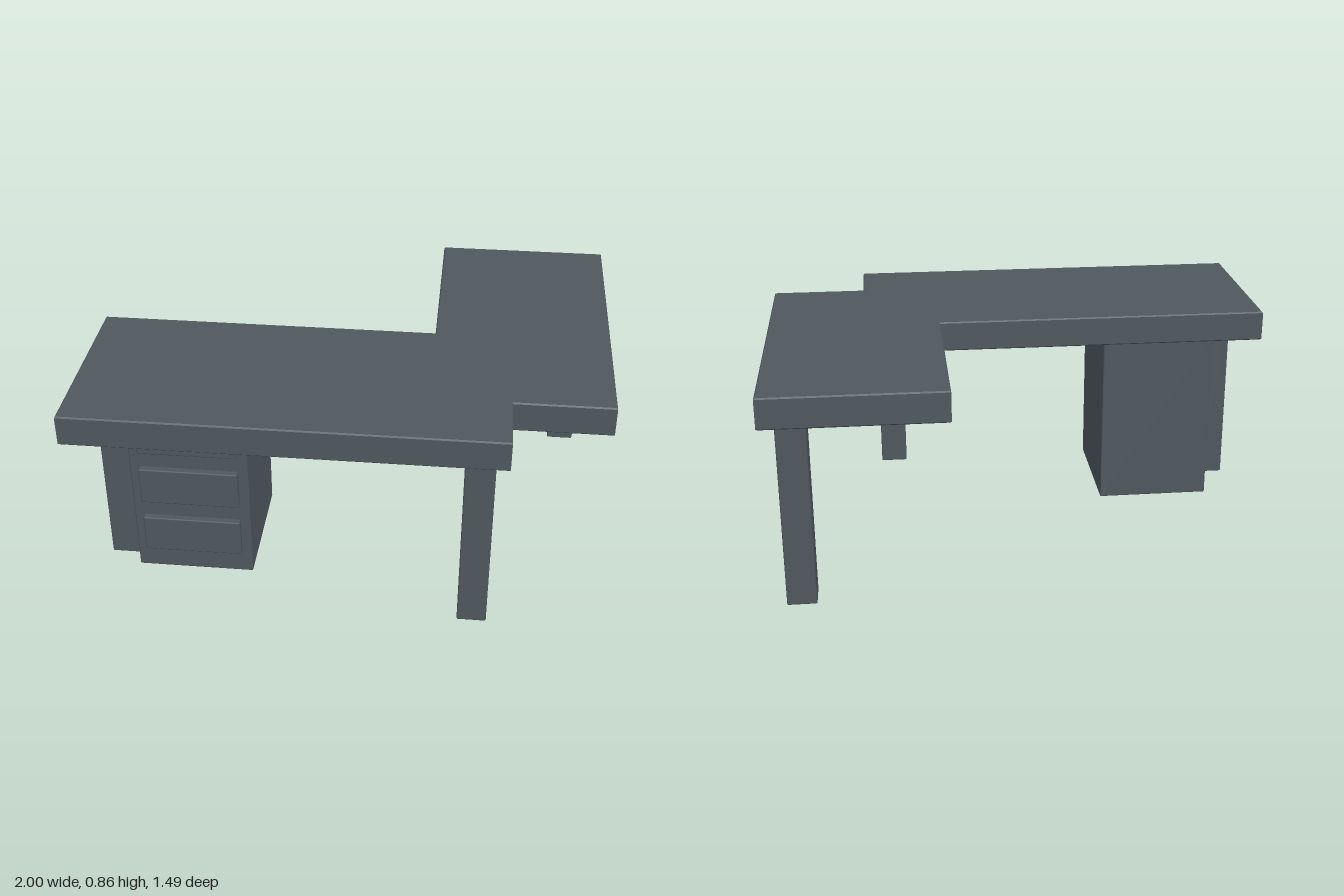
import * as THREE from 'three';
import { RoundedBoxGeometry } from 'three/addons/geometries/RoundedBoxGeometry.js';

const BEVEL = 0.005;

export function createModel() {
  const desk = new THREE.Group();
  desk.name = 'cornerDesk';
  const slate = new THREE.MeshStandardMaterial({ color: 0x50585f });
  slate.name = 'slateGrey';

  const add = (name, geometry, parent = desk) => {
    const mesh = new THREE.Mesh(geometry, slate);
    mesh.name = name;
    parent.add(mesh);
    return mesh;
  };

  // Softly bevelled block given by its minimum and maximum corners
  const block = (name, [x0, y0, z0], [x1, y1, z1], parent) => {
    const mesh = add(name, new RoundedBoxGeometry(x1 - x0, y1 - y0, z1 - z0, 1, BEVEL), parent);
    mesh.position.set((x0 + x1) / 2, (y0 + y1) / 2, (z0 + z1) / 2);
  };

  // L-shaped top with a notch at the front left corner, outlined as x, z
  const outline = [
    [-1, 0.745], [0.625, 0.745], [0.625, 0.487], [1, 0.487],
    [1, -0.745], [0.32, -0.745], [0.32, 0.01], [-1, 0.01],
  ].map(([x, z]) => new THREE.Vector2(x, -z));
  const top = new THREE.ExtrudeGeometry(new THREE.Shape(outline), {
    depth: 0.12 - 2 * BEVEL,
    bevelThickness: BEVEL,
    bevelSize: BEVEL,
    bevelOffset: -BEVEL,
    bevelSegments: 1,
  });
  top.rotateX(-Math.PI / 2);
  add('desktop', top).position.y = 0.735 + BEVEL;

  // Three square legs, centred at x, z
  const legs = { rightLeg: [-0.892, 0.382], frontLeg: [0.52, 0.655], backLeg: [0.887, -0.622] };
  for (const [name, [x, z]] of Object.entries(legs)) {
    block(name, [x - 0.056, 0, z - 0.056], [x + 0.056, 0.745, z + 0.056]);
  }

  // Hanging cabinet with three raised drawer fronts
  const cabinet = new THREE.Group();
  cabinet.name = 'drawerCabinet';
  desk.add(cabinet);
  block('cabinetBody', [-0.805, 0.035, 0.045], [-0.35, 0.745, 0.547], cabinet);
  for (let i = 0; i < 3; i++) {
    const y = 0.135 + i * 0.228;
    block(`drawerFront${i + 1}`, [-0.767, y, 0.535], [-0.388, y + 0.154, 0.573], cabinet);
  }

  return desk;
}
